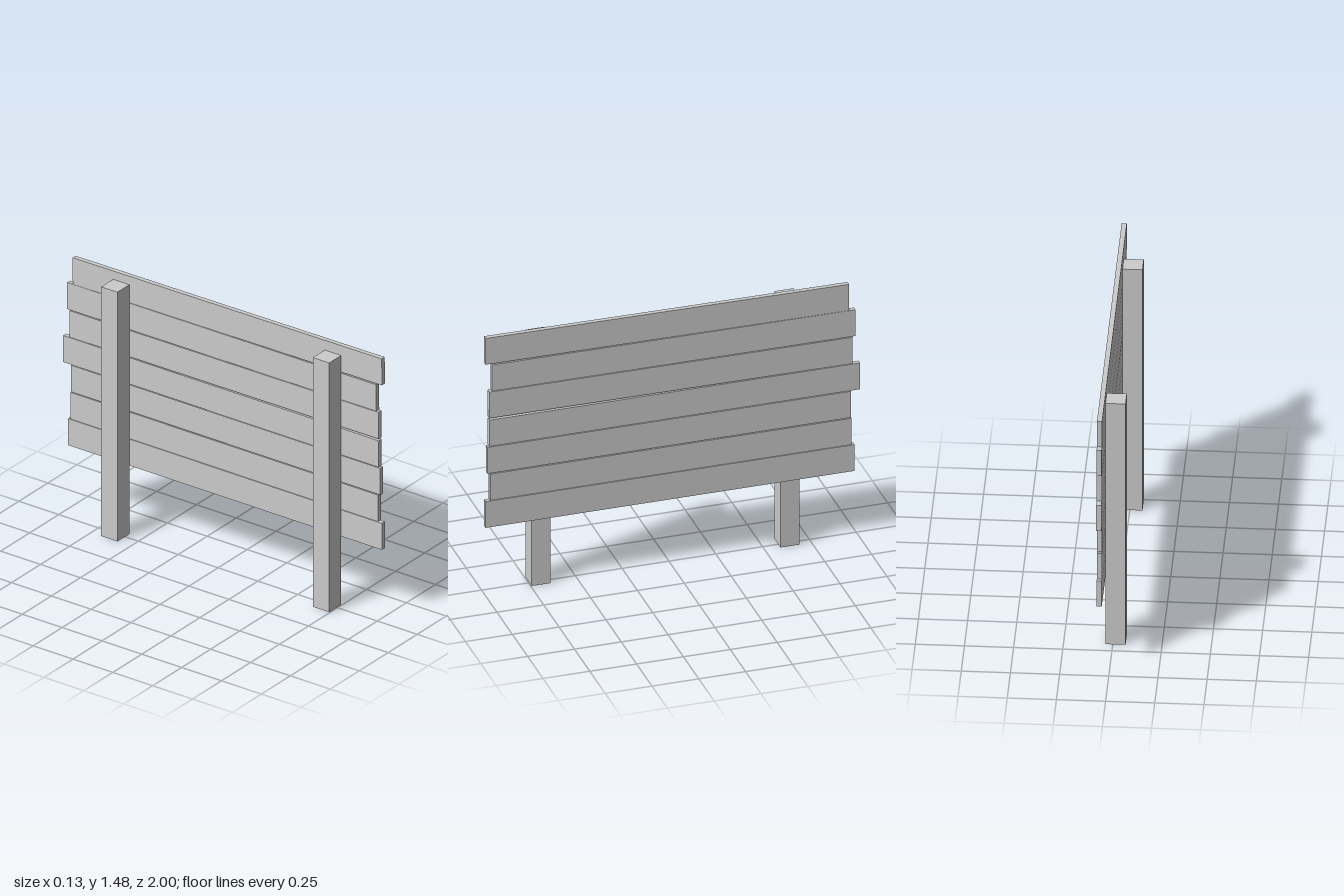
import * as THREE from 'three';

export function createModel() {
  const group = new THREE.Group();
  const material = new THREE.MeshStandardMaterial({ color: 0xcccccc, flatShading: true });

  function addBox(name, size, position) {
    const mesh = new THREE.Mesh(new THREE.BoxGeometry(...size), material);
    mesh.name = name;
    mesh.position.set(...position);
    group.add(mesh);
    return mesh;
  }

  // Two square posts behind the boards
  addBox('frontPost', [0.102, 1.423, 0.102], [-0.014, 0.7115, 0.694]);
  addBox('backPost', [0.102, 1.423, 0.102], [-0.014, 0.7115, -0.635]);

  // Horizontal boards, bottom to top: front end z, back end z, centre height, tilt
  const boards = [
    [1.0, -0.97, 0.466, 0],
    [0.975, -0.955, 0.62, 0],
    [0.99, -0.95, 0.776, 0],
    [0.98, -1.0, 0.931, 0],
    [0.98, -0.96, 1.089, -0.004],
    [0.965, -0.975, 1.244, -0.003],
    [1.0, -0.94, 1.399, -0.006],
  ];
  boards.forEach(([front, back, y, tilt], i) => {
    const board = addBox(`board${i + 1}`, [0.026, 0.151, front - back], [0.051, y, (front + back) / 2]);
    board.rotation.x = -tilt * -1;
  });

  return group;
}
